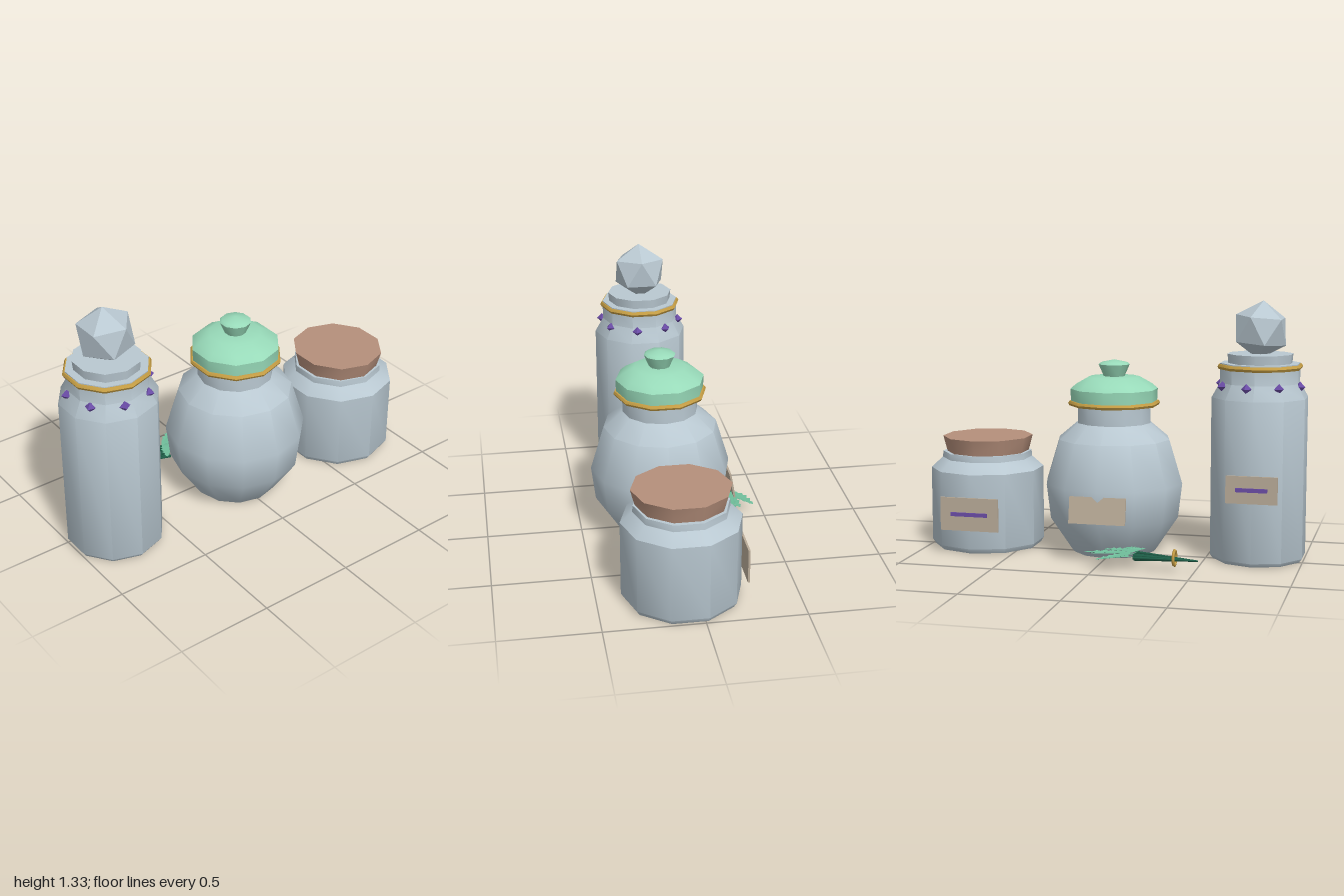
import * as THREE from 'three';
import { toCreasedNormals } from 'three/addons/utils/BufferGeometryUtils.js';

const mat = (name, color, side = THREE.FrontSide) => {
  const m = new THREE.MeshStandardMaterial({ color, side });
  m.name = name;
  return m;
};

export function createModel() {
  const glass = mat('pale glass', 0xb9c8d1);
  const cork = mat('cork', 0xb58f7b);
  const mint = mat('mint glaze', 0x98dab9);
  const gold = mat('gold', 0xc79f45);
  const purple = mat('purple', 0x6a4ca6);
  const paper = mat('label paper', 0xb9ab98);
  const stemGreen = mat('stem green', 0x1f6049, THREE.DoubleSide);
  const leafGreen = mat('leaf green', 0x6fbd9a, THREE.DoubleSide);

  const model = new THREE.Group();
  const Z = 0.075; // jar axis depth

  const add = (parent, name, geo, material, x = 0, y = 0, z = 0) => {
    const mesh = new THREE.Mesh(geo, material);
    mesh.name = name;
    mesh.position.set(x, y, z);
    parent.add(mesh);
    return mesh;
  };
  const jarGroup = (name, x) => {
    const g = new THREE.Group();
    g.name = name;
    g.position.set(x, 0, Z);
    model.add(g);
    return g;
  };
  // Turned part from [radius, height] pairs, bottom to top
  const turned = (profile, sides) => toCreasedNormals(
    new THREE.LatheGeometry(profile.map(([r, y]) => new THREE.Vector2(r, y)), sides), 0.7);
  // Faceted ring with its corners lined up with the jar's
  const band = (radius, tube) => {
    const pts = [];
    for (let i = 0; i <= 6; i++) {
      const a = i / 6 * Math.PI * 2;
      pts.push([radius + tube * Math.cos(a), tube * Math.sin(a)]);
    }
    return turned(pts, 10);
  };
  // Back label with an optional purple stripe
  const label = (parent, w, h, y, z, stripe, tilt = 0) => {
    const g = new THREE.Group();
    g.name = 'label';
    g.position.set(0, y, z);
    g.rotation.x = tilt;
    parent.add(g);
    add(g, 'labelPlate', new THREE.BoxGeometry(w, h, 0.01), paper);
    if (stripe) add(g, 'labelStripe', new THREE.BoxGeometry(stripe, 0.02, 0.009), purple, 0, 0, -0.009);
  };

  // Tall bottle
  const tall = jarGroup('tallBottle', -0.76);
  add(tall, 'tallBody', turned([[0, 0], [0.235, 0], [0.25, 0.02], [0.25, 0.84],
    [0.207, 0.915], [0.207, 1.015], [0, 1.015]], 10), glass);
  add(tall, 'tallBand', band(0.206, 0.015), gold, 0, 0.997);
  add(tall, 'tallStopper', new THREE.CylinderGeometry(0.175, 0.17, 0.05, 10), glass, 0, 1.037).scale.x = 0.97;
  const crystal = add(tall, 'crystalKnob', new THREE.IcosahedronGeometry(0.15), glass, 0, 1.182);
  crystal.rotation.z = -0.47;
  for (let i = 0; i < 8; i++) {
    const a = (34 + i * 45) * Math.PI / 180;
    const gem = add(tall, 'gem', new THREE.OctahedronGeometry(0.028), purple,
      Math.sin(a) * 0.212, 0.9, Math.cos(a) * 0.212);
    gem.rotation.y = a;
  }
  label(tall, 0.262, 0.14, 0.4, -0.26, 0.16);

  // Round jar with mint lid
  const round = jarGroup('roundJar', 0.008);
  add(round, 'roundBody', turned([[0, 0], [0.215, 0], [0.225, 0.01], [0.345, 0.19], [0.367, 0.37],
    [0.297, 0.6], [0.196, 0.685], [0.196, 0.79], [0, 0.79]], 12), glass);
  add(round, 'lid', turned([[0, 0.78], [0.226, 0.78], [0.23, 0.862], [0.2, 0.888], [0.135, 0.925],
    [0.055, 0.928], [0.082, 0.99], [0.07, 1.0], [0, 1.015]], 10), mint);
  add(round, 'lidBand', band(0.228, 0.014), gold, 0, 0.787);
  label(round, 0.295, 0.138, 0.278, -0.363, 0, 0.18);

  // Short corked jar
  const short = jarGroup('shortJar', 0.712);
  add(short, 'shortBody', turned([[0, 0], [0.285, 0], [0.301, 0.025], [0.301, 0.42],
    [0.24, 0.475], [0.237, 0.508], [0, 0.508]], 10), glass);
  add(short, 'corkStopper', toCreasedNormals(new THREE.CylinderGeometry(0.249, 0.226, 0.085, 10), 0.7),
    cork, -0.004, 0.548).scale.x = 0.96;
  label(short, 0.315, 0.175, 0.213, -0.305, 0.2);

  // Herb sprig lying behind the jars
  const sprig = new THREE.Group();
  sprig.name = 'herbSprig';
  model.add(sprig);
  const tip = new THREE.Vector3(-0.52, 0.062, -0.343);
  for (let i = 0; i < 9; i++) {
    const t = i / 8;
    const end = new THREE.Vector3(-0.19, 0.06 + 0.012 * Math.sin(i * 2.3), -0.345 + 0.1 * t);
    const dir = end.clone().sub(tip);
    const stem = add(sprig, 'stem', new THREE.CylinderGeometry(0.009, 0.004, dir.length(), 5), stemGreen);
    stem.position.copy(tip).addScaledVector(dir, 0.5);
    stem.quaternion.setFromUnitVectors(new THREE.Vector3(0, 1, 0), dir.normalize());
  }
  const tie = add(sprig, 'sprigRing', new THREE.TorusGeometry(0.038, 0.008, 6, 8), gold, -0.4, 0.068, -0.327);
  tie.rotation.y = Math.PI / 2;

  // Serrated leaf along +x, folded slightly along the midrib
  const leafGeo = (len, wid) => {
    const side = [];
    for (let i = 1; i < 6; i++) {
      const t = i / 6, w = wid * Math.sin(Math.PI * Math.pow(t, 0.8));
      side.push([t * len, w * 0.7], [(t + 0.08) * len, w]);
    }
    const s = new THREE.Shape();
    s.moveTo(0, 0);
    side.forEach(([x, y]) => s.lineTo(x, y));
    s.lineTo(len, 0);
    side.reverse().forEach(([x, y]) => s.lineTo(x, -y));
    const geo = new THREE.ShapeGeometry(s).rotateX(-Math.PI / 2);
    const p = geo.attributes.position;
    for (let i = 0; i < p.count; i++) p.setY(i, Math.abs(p.getZ(i)) * 0.3);
    geo.computeVertexNormals();
    return geo;
  };
  // Leaf base x, z and tip x, z
  [[-0.19, -0.33, -0.02, -0.44], [-0.18, -0.31, -0.07, -0.41], [-0.18, -0.31, 0.07, -0.32],
    [-0.2, -0.3, 0.02, -0.36], [-0.2, -0.29, -0.02, -0.26], [-0.2, -0.28, -0.12, -0.21],
    [-0.16, -0.33, -0.23, -0.22]].forEach(([x0, z0, x1, z1], i) => {
    const leaf = add(sprig, 'leaf', leafGeo(Math.hypot(x1 - x0, z1 - z0), 0.034), leafGreen,
      x0, 0.064 + 0.003 * i, z0);
    leaf.rotation.y = -Math.atan2(z1 - z0, x1 - x0);
  });

  return model;
}
